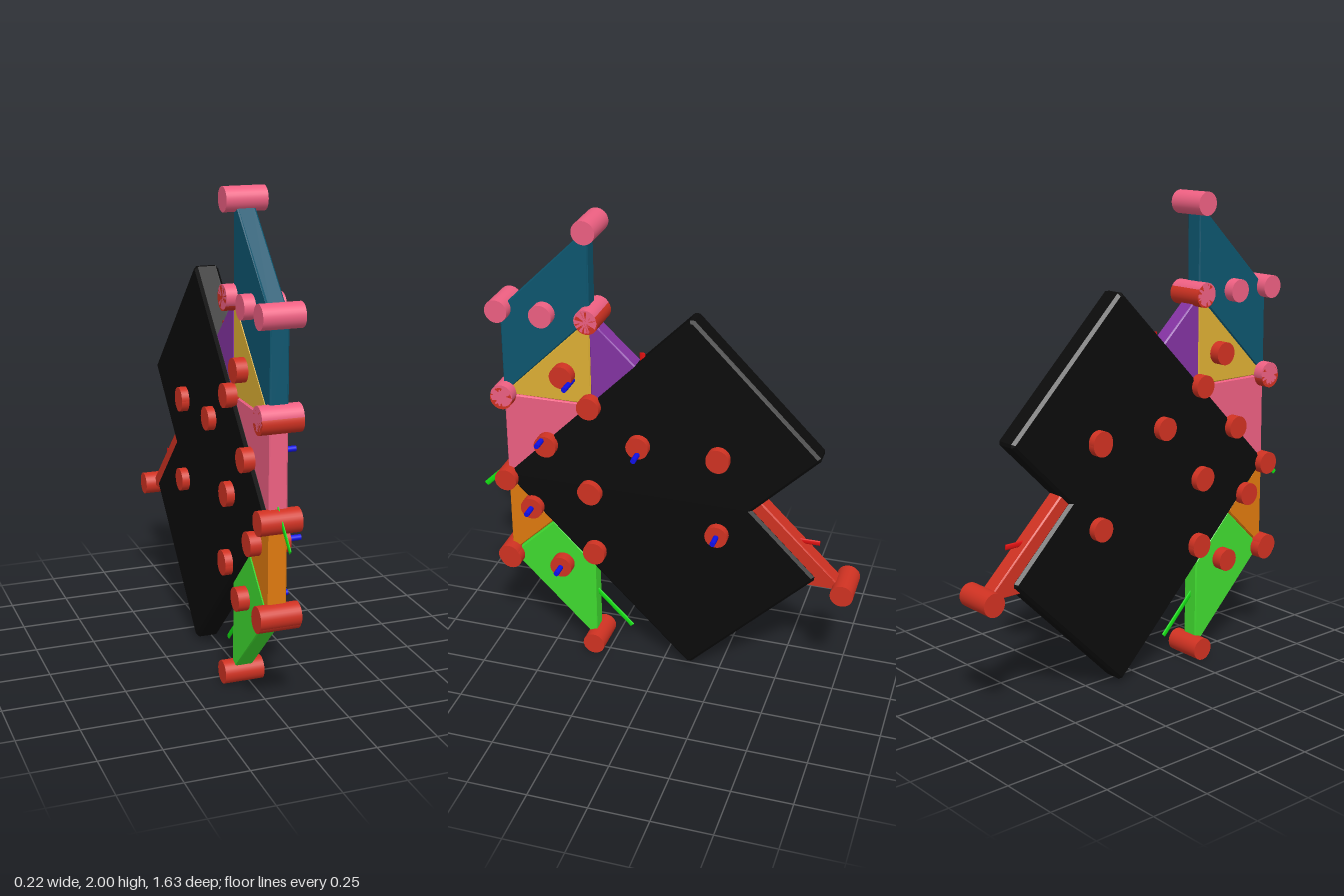
import * as THREE from 'three';

const MID = -0.028; // x of the common centre plane
const RED = 0xd03222, PINK = 0xee6082;

const mat = (color) => new THREE.MeshStandardMaterial({ color });

// Flat plate with small bevels, outlined by [z, y] points
function plate(name, points, color, thickness = 0.074, bevel = 0.006) {
  const shape = new THREE.Shape(points.map(([z, y]) => new THREE.Vector2(-z, y)));
  const geo = new THREE.ExtrudeGeometry(shape, {
    depth: thickness - 2 * bevel, bevelEnabled: true, bevelSegments: 1,
    bevelSize: bevel, bevelThickness: bevel, bevelOffset: -bevel,
  });
  geo.translate(0, 0, -thickness / 2 + bevel);
  geo.rotateY(Math.PI / 2);
  const mesh = new THREE.Mesh(geo, mat(color));
  mesh.name = name;
  mesh.position.x = MID;
  return mesh;
}

// Round pin running crosswise through the plates
function pin(z, y, color) {
  const geo = new THREE.CylinderGeometry(0.048, 0.048, 0.165, 32).rotateZ(Math.PI / 2);
  const mesh = new THREE.Mesh(geo, mat(color));
  mesh.name = 'pin';
  mesh.position.set(MID, y, z);
  return mesh;
}

// Thin in-plane rod from a centre toward direction (dz, dy), flattened in x
function rod(name, z, y, dz, dy, color) {
  const length = 0.418;
  const geo = new THREE.CylinderGeometry(0.0115, 0.0115, length, 12);
  geo.translate(0, length / 2, 0).rotateX(Math.atan2(dz, dy)).scale(0.35, 1, 1);
  const mesh = new THREE.Mesh(geo, mat(color));
  mesh.name = name;
  mesh.position.set(MID, y, z);
  return mesh;
}

export function createModel() {
  const model = new THREE.Group();
  model.name = 'tileAssembly';

  // Coloured tiles
  model.add(
    plate('tealTile', [[0.307, 1.955], [0.687, 1.58], [0.687, 1.205], [0.307, 1.58]], 0x0d566f),
    plate('yellowTile', [[0.307, 1.58], [0.687, 1.205], [0.307, 1.205]], 0xdeb034),
    plate('purpleTile', [[0.307, 1.58], [0.307, 1.205], [0.11, 1.395]], 0x8433a2),
    plate('pinkTile', [[0.687, 1.203], [0.687, 0.82], [0.307, 1.203]], PINK),
    plate('orangeTile', [[0.687, 0.82], [0.687, 0.435], [0.49, 0.625]], 0xdf7a0e),
    plate('greenTile', [[0.49, 0.622], [0.687, 0.43], [0.307, 0.052], [0.307, 0.435]], 0x40dc30),
    plate('redTile', [[-0.41, 0.87], [-0.35, 0.81], [-0.4, 0.51], [-0.775, 0.51]], RED),
  );

  // Large dark notched body
  model.add(plate('darkBody', [
    [-0.107, 1.63], [-0.127, 1.63], [-0.647, 1.11], [-0.647, 1.095], [-0.378, 0.826],
    [-0.647, 0.557], [-0.647, 0.542], [-0.127, 0.02], [-0.107, 0.02], [0.68, 0.81], [0.68, 0.835],
  ], 0x0b0b0b, 0.1, 0.012));

  // Pins at the tile corners and centres
  const pinkPins = [[0.307, 1.952], [0.685, 1.585], [0.497, 1.585], [0.307, 1.588], [0.68, 1.213]];
  const redPins = [
    [0.303, 1.582], [0.308, 1.205], [0.42, 1.33], [0.683, 1.2], [0.5, 1.003], [0.685, 0.815],
    [0.1, 1.058], [-0.237, 1.055], [-0.237, 1.047], [0.315, 0.812], [0.309, 0.806], [0.573, 0.695],
    [-0.237, 0.698], [0.297, 0.522], [0.297, 0.515], [0.688, 0.44], [0.68, 0.428], [0.45, 0.423],
    [0.307, 0.05], [-0.77, 0.513],
  ];
  pinkPins.forEach(([z, y]) => model.add(pin(z, y, PINK)));
  redPins.forEach(([z, y]) => model.add(pin(z, y, RED)));

  // Blue marker pegs reaching out on the model's left
  const centres = [[0.384, 1.307], [0.513, 1.032], [0.098, 1.03], [0.573, 0.697], [-0.238, 0.698], [0.45, 0.423]];
  for (const [z, y] of centres) {
    const geo = new THREE.CylinderGeometry(0.0115, 0.0115, 0.138, 12).rotateZ(Math.PI / 2);
    const peg = new THREE.Mesh(geo, mat(0x1010e8));
    peg.name = 'bluePeg';
    peg.position.set(MID + 0.069, y, z);
    model.add(peg);
  }

  // Green and red marker rods lying in the centre plane
  model.add(
    rod('greenRod', 0.513, 1.032, 1, -1, 0x12e012),
    rod('greenRod', 0.573, 0.697, -1, -1, 0x12e012),
    rod('greenRod', 0.45, 0.423, -1, -1, 0x12e012),
    rod('redRod', 0.098, 1.03, 0, 1, 0xe01010),
    rod('redRod', -0.238, 0.698, -1, 0, 0xe01010),
  );
  return model;
}
